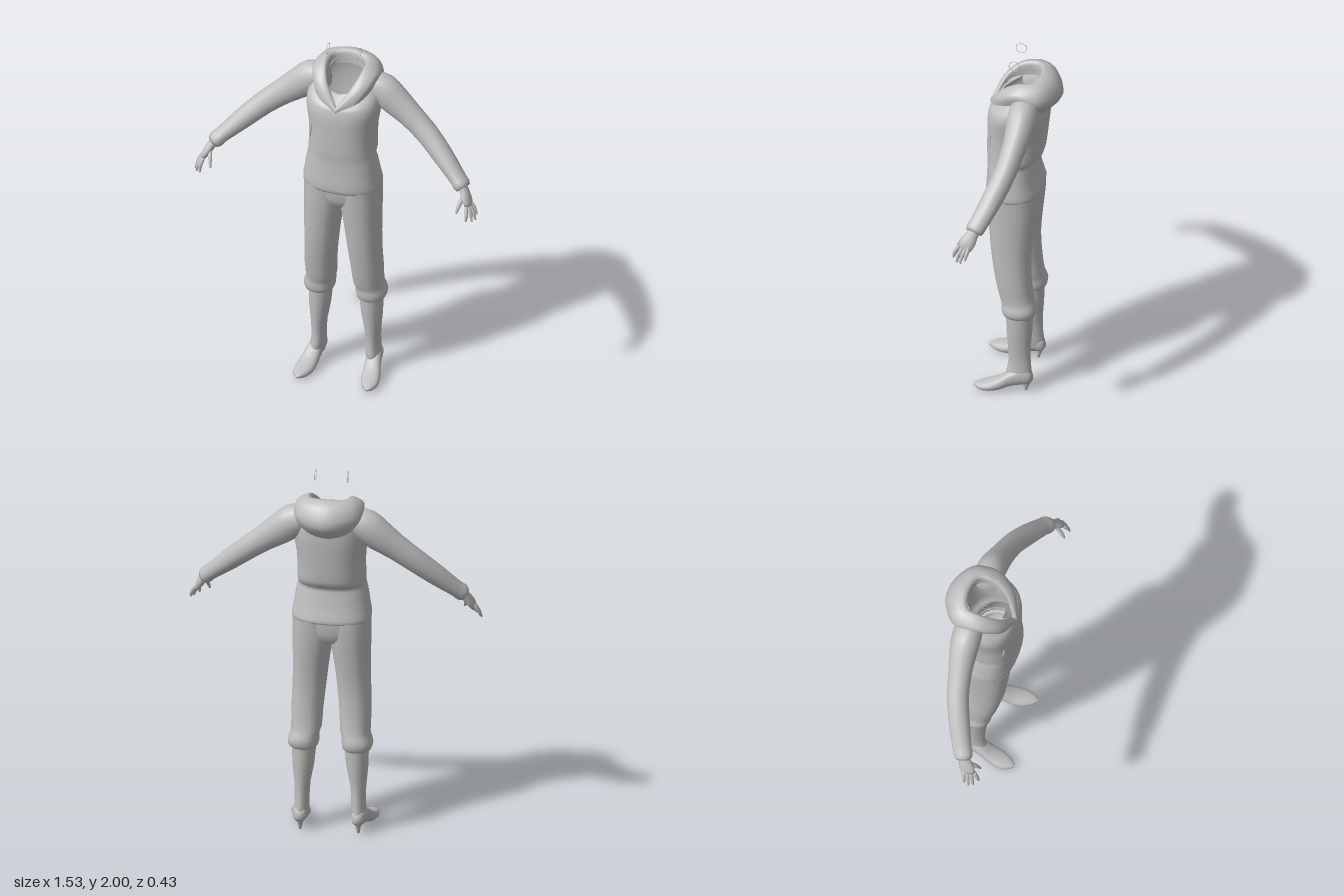
import * as THREE from 'three';

const V = (x, y, z) => new THREE.Vector3(x, y, z);
const cloth = new THREE.MeshStandardMaterial({ color: 0xbfbfbf, side: THREE.DoubleSide });
cloth.name = 'plain grey';

// Smoothly insert rows between the given cross-sections.
function refine(rows, n) {
  const count = (rows.length - 1) * n + 1;
  const curves = rows[0].map((_, j) => new THREE.CatmullRomCurve3(rows.map(r => r[j])));
  return Array.from({ length: count }, (_, i) => curves.map(c => c.getPoint(i / (count - 1))));
}

// Skin a list of cross-sections; closed rings may have capped ends.
function skin(rows, { closed = true, capStart = false, capEnd = false, n = 2 } = {}) {
  rows = refine(rows, n);
  const m = rows[0].length, pos = [], idx = [];
  rows.flat().forEach(p => pos.push(p.x, p.y, p.z));
  for (let i = 0; i < rows.length - 1; i++) {
    for (let j = 0; j < (closed ? m : m - 1); j++) {
      const k = (j + 1) % m, a = i * m + j, b = i * m + k;
      idx.push(a, b, a + m, b, b + m, a + m);
    }
  }
  const cap = (i, flip) => {
    const c = V(0, 0, 0), id = pos.length / 3;
    rows[i].forEach(p => c.addScaledVector(p, 1 / m));
    pos.push(c.x, c.y, c.z);
    for (let j = 0; j < m; j++) {
      const a = i * m + j, b = i * m + (j + 1) % m;
      idx.push(id, flip ? b : a, flip ? a : b);
    }
  };
  if (capStart) cap(0, true);
  if (capEnd) cap(rows.length - 1, false);
  const g = new THREE.BufferGeometry();
  g.setAttribute('position', new THREE.Float32BufferAttribute(pos, 3));
  g.setIndex(idx);
  g.computeVertexNormals();
  return g;
}

// Rounded ring in unit coordinates; a higher power is squarer.
function unitRing(segs, power = 2) {
  const f = v => Math.sign(v) * Math.abs(v) ** (2 / power);
  return Array.from({ length: segs }, (_, j) => {
    const a = (j / segs) * Math.PI * 2;
    return [f(Math.cos(a)), f(Math.sin(a))];
  });
}

// Horizontal ring, tilted from yFront to yBack.
function bodyRing([yFront, yBack, x0, x1, zf, zb], segs, power) {
  return unitRing(segs, power).map(([c, s]) => V((x0 + x1) / 2 + s * (x1 - x0) / 2,
    THREE.MathUtils.lerp(yBack, yFront, (c + 1) / 2), (zf + zb) / 2 + c * (zf - zb) / 2));
}

// Limb along stations [x, y, z, thickness, width].
function limb(st, segs, opts) {
  const p = st.map(s => V(s[0], s[1], s[2]));
  const rows = st.map((s, i) => {
    const t = p[Math.min(i + 1, p.length - 1)].clone().sub(p[Math.max(i - 1, 0)]).normalize();
    const b = t.clone().cross(V(0, 0, 1)).normalize(), c = t.clone().cross(b);
    return unitRing(segs).map(([u, v]) =>
      p[i].clone().addScaledVector(b, u * s[3]).addScaledVector(c, v * (s[4] ?? s[3])));
  });
  return skin(rows, opts);
}

function mirrored(g) {
  const m = g.clone().scale(-1, 1, 1), a = m.index.array;
  for (let i = 0; i < a.length; i += 3) [a[i + 1], a[i + 2]] = [a[i + 2], a[i + 1]];
  return m;
}

export function createModel() {
  const model = new THREE.Group();
  model.name = 'clothedFigure';
  const add = (name, g) => {
    const mesh = new THREE.Mesh(g, cloth);
    mesh.name = name;
    model.add(mesh);
  };
  const pair = (name, g) => { add(name + 'Left', g); add(name + 'Right', mirrored(g)); };

  // Sweatshirt body: hem, waist folds, chest and open neck [yFront, yBack, halfWidth, zFront, zBack]
  add('sweatshirt', skin([
    [1.175, 1.18, .185, .15, -.09], [1.175, 1.185, .203, .17, -.113], [1.2, 1.205, .207, .178, -.115],
    [1.26, 1.26, .198, .175, -.1], [1.34, 1.34, .185, .172, -.085], [1.375, 1.375, .176, .172, -.08],
    [1.41, 1.4, .178, .175, -.113], [1.46, 1.46, .176, .176, -.125], [1.55, 1.55, .178, .175, -.135],
    [1.63, 1.65, .192, .172, -.145], [1.67, 1.74, .192, .163, -.145],
    [1.69, 1.82, .165, .155, -.13], [1.7, 1.87, .1, .14, -.1],
  ].map(([a, b, w, f, k]) => bodyRing([a, b, -w, w, f, k], 32, 2.4))));

  // Hood lying around the neck, each station running from inner edge over the rim to the underside
  const half = [
    [[0, 1.68, .135], [0, 1.7, .148], [0, 1.698, .16], [0, 1.685, .168], [0, 1.675, .165]],
    [[.068, 1.77, .085], [.072, 1.81, .088], [.105, 1.805, .1], [.125, 1.78, .105], [.11, 1.73, .12]],
    [[.095, 1.8, 0], [.1, 1.872, .005], [.14, 1.865, 0], [.175, 1.835, 0], [.16, 1.77, 0]],
    [[.085, 1.81, -.07], [.088, 1.885, -.075], [.135, 1.865, -.12], [.165, 1.795, -.13], [.125, 1.72, -.115]],
    [[0, 1.82, -.095], [0, 1.893, -.105], [0, 1.868, -.175], [0, 1.775, -.217], [0, 1.69, -.15]],
  ].map(r => r.map(p => V(...p)));
  const other = half.slice(0, -1).reverse().map(r => r.map(p => V(-p.x, p.y, p.z)));
  const across = r => {
    const c = new THREE.CatmullRomCurve3(r);
    return c.getPoints(12);
  };
  add('hood', skin([...half, ...other].map(across), { closed: false, n: 5 }));

  // Small insert at the bottom of the V neck
  add('neckInsert', skin([
    [V(-.045, 1.765, .1), V(0, 1.75, .1), V(.045, 1.765, .1)],
    [V(-.003, 1.69, .146), V(0, 1.69, .146), V(.003, 1.69, .146)],
  ], { closed: false }));

  // Sleeves with gathered cuffs
  pair('sleeve', limb([
    [.12, 1.765, -.045, .07, .07], [.19, 1.735, -.045, .088, .078], [.26, 1.68, -.04, .083, .072],
    [.34, 1.62, -.028, .07, .062], [.44, 1.54, -.006, .062, .058], [.54, 1.45, .035, .055, .056],
    [.615, 1.38, .072, .045, .052], [.645, 1.352, .088, .042, .05], [.665, 1.332, .1, .044, .05],
    [.678, 1.318, .106, .036, .042],
  ], 16, { capStart: true, capEnd: true }));

  // Hands
  pair('palm', limb([
    [.665, 1.335, .1, .025, .03], [.685, 1.305, .113, .023, .033],
    [.705, 1.27, .132, .022, .042], [.722, 1.238, .148, .015, .036],
  ], 12, { capStart: true, capEnd: true }));
  const fingers = {
    thumb: [[.688, 1.29, .135], [.675, 1.25, .175], [.667, 1.212, .195]],
    indexFinger: [[.713, 1.25, .174], [.722, 1.215, .194], [.722, 1.18, .204]],
    middleFinger: [[.72, 1.245, .157], [.738, 1.21, .172], [.748, 1.17, .181]],
    ringFinger: [[.724, 1.245, .14], [.746, 1.21, .152], [.761, 1.172, .16]],
    littleFinger: [[.724, 1.25, .123], [.746, 1.22, .13], [.76, 1.19, .135]],
  };
  for (const [name, [a, b, c]] of Object.entries(fingers)) {
    pair(name, limb([[...a, .011], [...b, .0105], [...c, .005]], 8, { capStart: true, capEnd: true, n: 3 }));
  }

  // Trousers: hips and two legs [y, xInner, xOuter, zFront, zBack]
  add('hips', skin([
    [1.04, .04, .08, -.03], [1.07, .12, .13, -.08], [1.12, .19, .152, -.1], [1.2, .198, .16, -.105],
  ].map(([y, w, f, k]) => bodyRing([y, y, -w, w, f, k], 28, 2.4)), { capStart: true }));
  pair('trouserLeg', skin([
    [.455, .085, .195, .05, -.08], [.468, .065, .214, .068, -.097], [.5, .06, .222, .075, -.105],
    [.53, .06, .212, .075, -.1], [.56, .05, .206, .085, -.09], [.65, .045, .208, .105, -.078],
    [.8, .03, .203, .13, -.072], [.95, .012, .202, .145, -.085], [1.08, -.01, .203, .155, -.1],
    [1.19, -.02, .203, .16, -.105],
  ].map(([y, ...r]) => bodyRing([y, y, ...r], 22, 2.3)), { capStart: true }));

  // Boots: shaft, pointed foot and thin heel
  pair('bootShaft', skin([
    [.06, .118, .19, .03, -.08], [.1, .112, .19, .05, -.086], [.16, .11, .185, .04, -.08],
    [.25, .105, .187, .042, -.077], [.36, .085, .197, .05, -.085], [.47, .075, .2, .055, -.09],
  ].map(([y, ...r]) => bodyRing([y, y, ...r], 18, 2)), { capStart: true }));
  pair('bootFoot', skin([
    [-.09, .152, .01, .065, .095], [-.075, .152, .032, .047, .125], [-.03, .155, .038, .038, .14],
    [.03, .162, .042, .025, .115], [.08, .17, .048, .006, .078], [.13, .178, .05, 0, .056],
    [.18, .185, .036, .003, .042], [.215, .188, .008, .016, .03],
  ].map(([z, x, w, y0, y1]) => unitRing(16, 2.3).map(([c, s]) =>
    V(x + c * w, (y0 + y1) / 2 + s * (y1 - y0) / 2, z))), { capStart: true, capEnd: true }));
  pair('bootHeel', limb([
    [.152, .075, -.063, .026], [.152, .04, -.058, .015], [.152, 0, -.053, .007],
  ], 10, { capEnd: true }));

  // Pocket openings on the sides of the front
  pair('pocketEdge', limb([
    [.135, 1.555, .142, .002, .004], [.139, 1.52, .14, .002, .005], [.143, 1.485, .138, .002, .004],
  ], 6, { capStart: true, capEnd: true }));

  // Hoop earrings
  pair('earring', new THREE.TorusGeometry(.029, .0015, 5, 10).rotateY(Math.PI / 2).translate(.085, 1.97, .022));

  return model;
}
